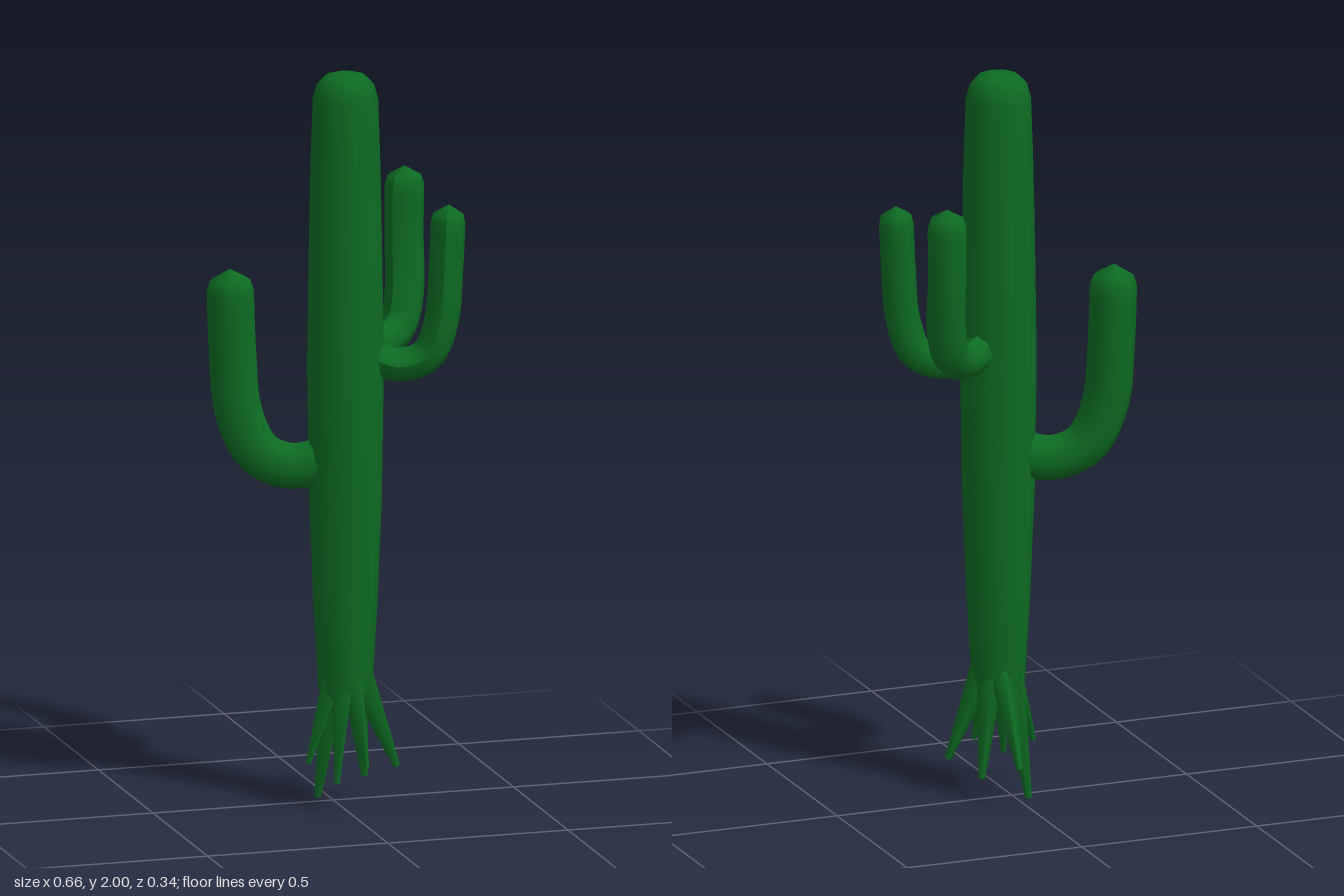
import * as THREE from 'three';

const V = (x, y, z) => new THREE.Vector3(x, y, z);
const green = new THREE.MeshStandardMaterial({ color: 0x0d6b22 });
const CX = 0.02, CZ = 0.046; // trunk axis

// Eight-sided sweep with a narrow neck and a rounded, closed tip
function arm(name, points, radius, neck) {
  const curve = new THREE.CatmullRomCurve3(points);
  const length = curve.getLength();
  const rings = 24, sides = 8;
  const geo = new THREE.TubeGeometry(curve, rings, radius, sides, false);
  const pos = geo.attributes.position;
  const p = new THREE.Vector3();
  for (let i = 0; i <= rings; i++) {
    const t = i / rings;
    const c = curve.getPointAt(t);
    const d = Math.min(1, (1 - t) * length / radius);
    const cap = Math.sqrt(1 - (1 - d) ** 2);
    const body = neck + (1 - neck) * Math.min(1, t * 2.5);
    for (let j = 0; j <= sides; j++) {
      const k = i * (sides + 1) + j;
      p.fromBufferAttribute(pos, k).sub(c).multiplyScalar(cap * body).add(c);
      pos.setXYZ(k, p.x, p.y, p.z);
    }
  }
  geo.computeVertexNormals();
  const mesh = new THREE.Mesh(geo, green);
  mesh.name = name;
  return mesh;
}

// Tapered four-sided root from the trunk's foot to a tip
function root(tip) {
  const out = V(tip.x - CX, 0, tip.z - CZ).normalize();
  const start = V(CX + out.x * 0.042, 0.34, CZ + out.z * 0.042);
  const dir = tip.clone().sub(start);
  const geo = new THREE.CylinderGeometry(0.009, 0.036, dir.length(), 4);
  const mesh = new THREE.Mesh(geo, green);
  mesh.position.copy(start).addScaledVector(dir, 0.5);
  mesh.quaternion.setFromUnitVectors(V(0, 1, 0), dir.normalize());
  mesh.name = 'root';
  return mesh;
}

export function createModel() {
  const group = new THREE.Group();
  group.name = 'cactus';

  // Trunk, swelling at mid height with a domed top
  const profile = [
    [0, 0.25], [0.05, 0.26], [0.072, 0.32], [0.085, 0.55], [0.097, 0.85],
    [0.102, 1.2], [0.098, 1.5], [0.093, 1.75], [0.087, 1.93], [0.076, 1.97],
    [0.055, 1.992], [0.025, 2], [0, 2],
  ].map(([r, y]) => new THREE.Vector2(r, y));
  const trunk = new THREE.Mesh(new THREE.LatheGeometry(profile, 10), green);
  trunk.position.set(CX, 0, CZ);
  trunk.name = 'trunk';
  group.add(trunk);

  // Three upturned arms
  group.add(
    arm('rightArm', [
      V(-0.03, 0.94, 0.03), V(-0.12, 0.925, 0.005), V(-0.2, 0.96, -0.02),
      V(-0.25, 1.07, -0.04), V(-0.265, 1.25, -0.05), V(-0.272, 1.462, -0.05),
    ], 0.063, 1),
    arm('backLeftArm', [
      V(0.08, 1.25, 0.01), V(0.15, 1.235, -0.04), V(0.205, 1.27, -0.08),
      V(0.228, 1.36, -0.1), V(0.232, 1.5, -0.118), V(0.235, 1.692, -0.122),
    ], 0.053, 0.85),
    arm('frontLeftArm', [
      V(0.09, 1.22, 0.06), V(0.16, 1.2, 0.08), V(0.23, 1.225, 0.1),
      V(0.265, 1.32, 0.115), V(0.277, 1.46, 0.118), V(0.285, 1.638, 0.118),
    ], 0.046, 1),
  );

  // Splayed roots
  const roots = new THREE.Group();
  roots.name = 'roots';
  [
    V(-0.03, 0.003, -0.045), V(0.04, 0.12, -0.16), V(0.045, 0.12, 0.16),
    V(-0.03, 0.08, 0.135), V(-0.09, 0.125, 0.07), V(0.09, 0.06, -0.01),
    V(0.155, 0.1, 0.07),
  ].forEach((tip) => roots.add(root(tip)));
  group.add(roots);

  return group;
}
